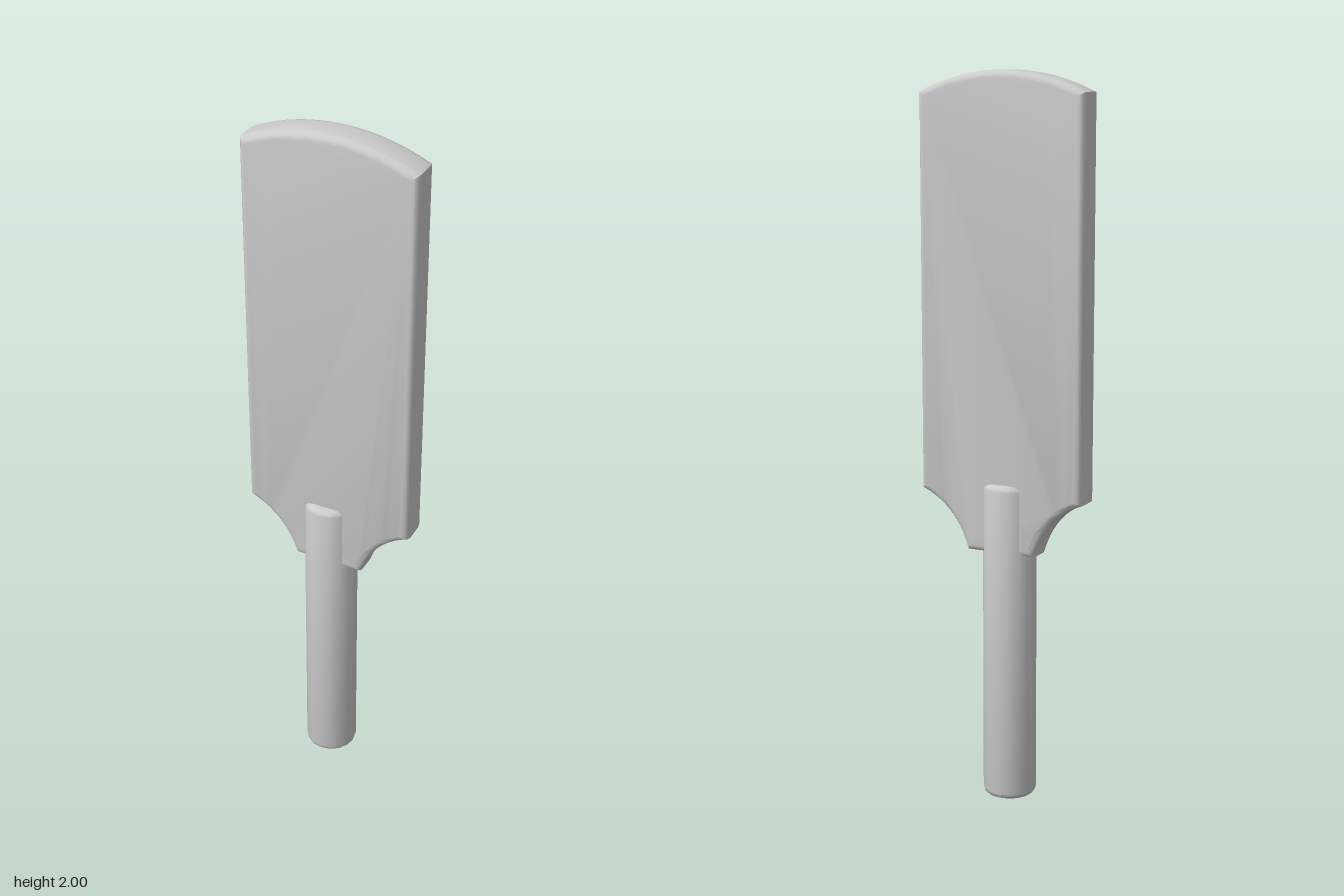
import * as THREE from 'three';
import { toCreasedNormals } from 'three/addons/utils/BufferGeometryUtils.js';

export function createModel() {
  const model = new THREE.Group();
  const material = new THREE.MeshStandardMaterial({ color: 0xcccccc });

  function addPart(name, geometry, crease, x, y, z) {
    const mesh = new THREE.Mesh(toCreasedNormals(geometry, crease), material);
    mesh.name = name;
    mesh.position.set(x, y, z);
    model.add(mesh);
  }

  // Blade: straight sides, arched top, concave shoulders down to the handle
  const half = 0.242, shoulderY = 0.865, cornerY = 1.945, topY = 2, footY = 0.705, footX = 0.1;
  const rise = topY - cornerY;
  const radius = (half * half + rise * rise) / (2 * rise);
  const sweep = Math.asin(half / radius);
  const outline = new THREE.Shape();
  outline.moveTo(-footX, footY);
  outline.lineTo(footX, footY);
  outline.quadraticCurveTo(0.135, 0.825, half, shoulderY);
  outline.lineTo(half, cornerY);
  outline.absarc(0, topY - radius, radius, Math.PI / 2 - sweep, Math.PI / 2 + sweep, false);
  outline.lineTo(-half, shoulderY);
  outline.quadraticCurveTo(-0.135, 0.825, -footX, footY);

  // Rounded rim is kept inside the outline
  const thickness = 0.097, rim = 0.022;
  const blade = new THREE.ExtrudeGeometry(outline, {
    depth: thickness - 2 * rim,
    bevelThickness: rim,
    bevelSize: 0.018,
    bevelOffset: -0.018,
    bevelSegments: 3,
    curveSegments: 10,
  });
  blade.translate(0, 0, rim - thickness / 2);
  addPart('blade', blade, 0.7, 0, 0, -0.003);

  // Handle: round bar with softened ends, overlapping the blade
  const r = 0.074, length = 0.9, soft = 0.017;
  const profile = [new THREE.Vector2(0, 0)];
  for (let i = 0; i <= 3; i++) {
    const a = (i / 3) * Math.PI / 2;
    profile.push(new THREE.Vector2(r - soft + soft * Math.sin(a), soft - soft * Math.cos(a)));
  }
  for (let i = 3; i >= 0; i--) {
    const a = (i / 3) * Math.PI / 2;
    profile.push(new THREE.Vector2(r - soft + soft * Math.sin(a), length - soft + soft * Math.cos(a)));
  }
  profile.push(new THREE.Vector2(0, length));
  addPart('handle', new THREE.LatheGeometry(profile, 16), 0.8, -0.009, 0, -0.001);

  return model;
}
